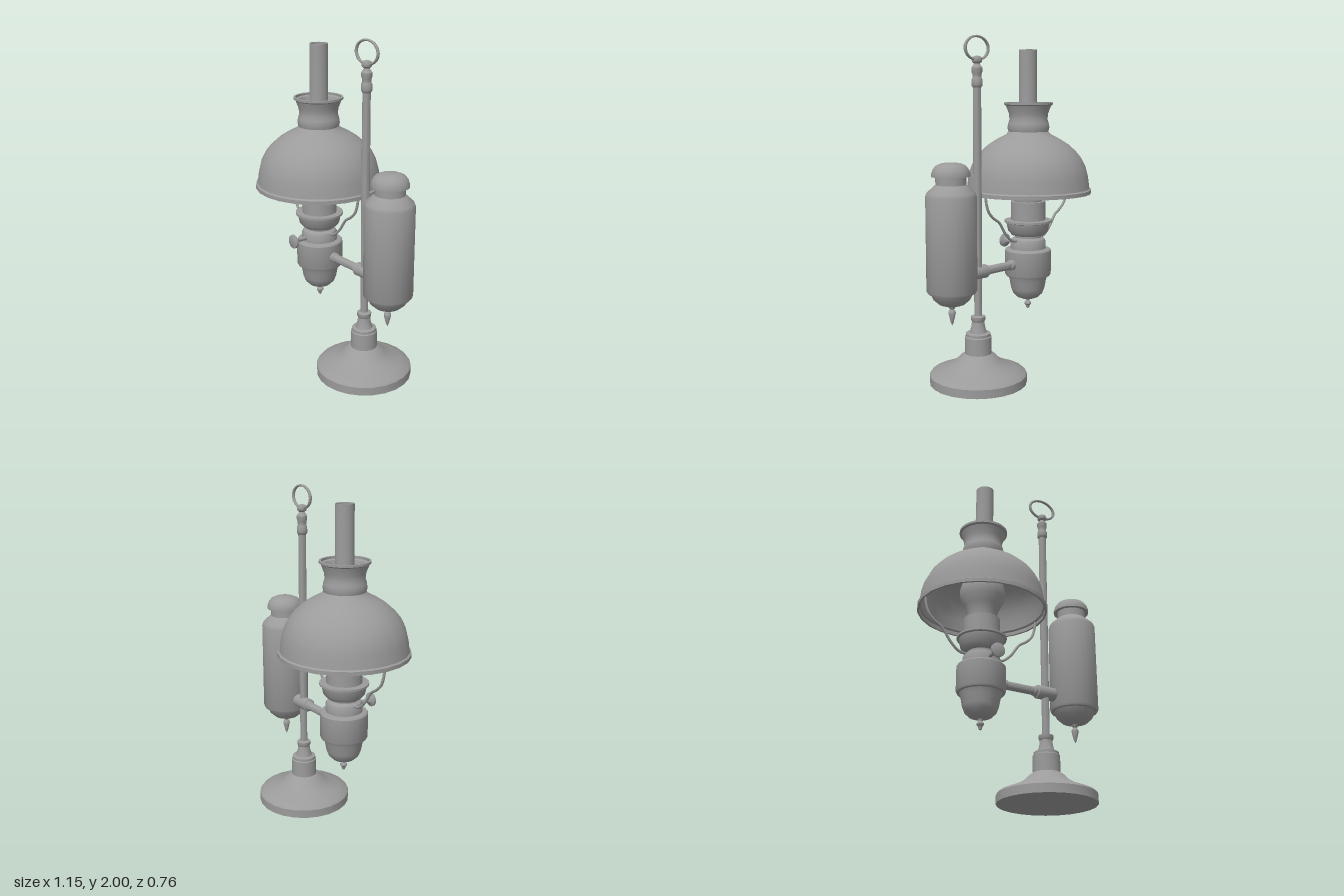
import * as THREE from 'three';
import { toCreasedNormals } from 'three/addons/utils/BufferGeometryUtils.js';

const LAMP_X = -0.195, POLE_X = 0.229, TANK_X = 0.431, ARM_Y = 0.655;
const COLOR = 0x9b9b9b;
const solid = new THREE.MeshStandardMaterial({ color: COLOR });
const thin = new THREE.MeshStandardMaterial({ color: COLOR, side: THREE.DoubleSide });

function add(parent, name, geometry, material = solid) {
  const mesh = new THREE.Mesh(geometry, material);
  mesh.name = name;
  parent.add(mesh);
  return mesh;
}

// Turned part from [radius, height] pairs, listed from bottom to top
function turned(parent, name, profile, segments = 24, material = solid) {
  const lathe = new THREE.LatheGeometry(profile.map(([r, y]) => new THREE.Vector2(r, y)), segments);
  return add(parent, name, toCreasedNormals(lathe, 0.6), material);
}

// Thin-walled turned part: outer wall up, inner wall back down
function shell(parent, name, profile, wall) {
  const inner = profile.map(([r, y]) => [r - wall, y]).reverse();
  return turned(parent, name, [...profile, ...inner, profile[0]], 24, thin);
}

function section(parent, name, x) {
  const g = new THREE.Group();
  g.name = name;
  g.position.x = x;
  parent.add(g);
  return g;
}

function buildStand(root) {
  const g = section(root, 'stand', POLE_X);
  turned(g, 'base', [
    [0, 0], [0.285, 0], [0.285, 0.05], [0.275, 0.062], [0.225, 0.082], [0.17, 0.105],
    [0.125, 0.135], [0.1, 0.162], [0.078, 0.175], [0.078, 0.275], [0.072, 0.28],
    [0.072, 0.295], [0.05, 0.3], [0.04, 0.335], [0.036, 0.365], [0.042, 0.375],
    [0.042, 0.395], [0.025, 0.4], [0, 0.4]]);
  turned(g, 'pole', [[0.022, 0.39], [0.024, 1.1], [0.023, 1.73]], 16);
  turned(g, 'poleFinial', [
    [0.023, 1.71], [0.031, 1.722], [0.031, 1.755], [0.025, 1.767], [0.026, 1.785],
    [0.031, 1.8], [0.031, 1.82], [0.022, 1.832], [0.016, 1.842], [0.027, 1.852],
    [0.03, 1.865], [0.024, 1.88], [0, 1.888]], 16);
  // Oval carrying ring
  const ring = add(g, 'carryingRing', new THREE.TorusGeometry(0.088, 0.009, 8, 32));
  ring.scale.y = 0.74;
  ring.position.y = 1.928;
}

function buildArm(root) {
  const arm = section(root, 'arm', 0);
  arm.position.y = ARM_Y;
  // Profile runs along +x once turned on its side
  const bar = turned(arm, 'armBar', [
    [0.031, -0.075], [0.031, -0.035], [0.025, -0.03], [0.025, 0.145], [0.03, 0.15],
    [0.03, 0.165], [0.04, 0.17], [0.04, 0.285], [0.033, 0.295], [0.033, 0.32]], 16);
  bar.rotation.z = -Math.PI / 2;
}

function buildTank(root) {
  const g = section(root, 'tank', TANK_X);
  turned(g, 'tankBody', [
    [0, 0.49], [0.035, 0.494], [0.075, 0.508], [0.105, 0.535], [0.122, 0.57],
    [0.136, 0.572], [0.143, 0.585], [0.143, 1.115], [0.136, 1.135],
    [0.092, 1.175], [0.086, 1.18], [0.086, 1.24]]);
  turned(g, 'tankCap', [
    [0.08, 1.225], [0.108, 1.225], [0.108, 1.24], [0.1, 1.265], [0.083, 1.286],
    [0.055, 1.298], [0, 1.302]]);
  turned(g, 'tankSpike', [
    [0, 0.38], [0.009, 0.4], [0.022, 0.455], [0.017, 0.468], [0.011, 0.475],
    [0.018, 0.485], [0.022, 0.5]], 12);
}

function buildLamp(root) {
  const g = section(root, 'lamp', LAMP_X);
  turned(g, 'burnerBody', [
    [0, 0.423], [0.035, 0.426], [0.065, 0.438], [0.09, 0.462], [0.103, 0.495],
    [0.112, 0.545], [0.122, 0.572], [0.135, 0.574], [0.141, 0.585], [0.141, 0.73],
    [0.135, 0.738], [0.108, 0.742], [0.108, 0.785], [0.1, 0.8], [0.08, 0.81], [0.08, 0.83]]);
  turned(g, 'burnerDrip', [
    [0, 0.36], [0.009, 0.365], [0.012, 0.38], [0.021, 0.392], [0.021, 0.4],
    [0.011, 0.412], [0.014, 0.43]], 12);
  // Closed on top by the burner plate
  turned(g, 'galleryCup', [
    [0.075, 0.82], [0.1, 0.826], [0.122, 0.85], [0.132, 0.9], [0.145, 0.904],
    [0.145, 0.916], [0.105, 0.918], [0.105, 1.03], [0, 1.034]], 24, thin);
  // Flat wick set diagonally in the burner
  const wick = add(g, 'wick', new THREE.BoxGeometry(0.12, 0.05, 0.016));
  wick.position.y = 1.045;
  wick.rotation.y = -Math.PI / 4;
  // Glass chimney bulging inside the shade, leaning very slightly
  const chimney = shell(g, 'chimney', [
    [0.084, 0], [0.086, 0.04], [0.105, 0.09], [0.13, 0.14], [0.135, 0.19],
    [0.12, 0.25], [0.085, 0.32], [0.06, 0.39], [0.054, 0.46], [0.054, 0.914]], 0.006);
  chimney.position.y = 1.02;
  chimney.rotation.z = -0.008;
  shell(g, 'shade', [
    [0.381, 1.083], [0.381, 1.105], [0.371, 1.112], [0.362, 1.18], [0.348, 1.235],
    [0.32, 1.292], [0.285, 1.335], [0.24, 1.375], [0.19, 1.407], [0.135, 1.435],
    [0.12, 1.452], [0.126, 1.475], [0.122, 1.5], [0.114, 1.525], [0.118, 1.56],
    [0.135, 1.605], [0.146, 1.612], [0.146, 1.625]], 0.012);

  // Bent wires carrying the shade, one on each side
  for (const side of [-1, 1]) {
    const path = new THREE.CatmullRomCurve3([
      [0.362, 1.1], [0.355, 1.05], [0.335, 0.995], [0.295, 0.955], [0.25, 0.925],
      [0.195, 0.85], [0.14, 0.803], [0.085, 0.795],
    ].map(([x, y]) => new THREE.Vector3(side * x, y, 0)));
    add(g, 'shadeSupport', new THREE.TubeGeometry(path, 28, 0.008, 8));
  }

  // Wick knob on the front
  const knob = turned(g, 'wickKnob', [
    [0.011, 0.08], [0.011, 0.16], [0.018, 0.175], [0.034, 0.19], [0.042, 0.193],
    [0.042, 0.205], [0.036, 0.208], [0, 0.208]], 16);
  knob.rotation.x = Math.PI / 2;
  knob.position.y = 0.765;
}

export function createModel() {
  const root = new THREE.Group();
  root.name = 'studentLamp';
  buildStand(root);
  buildArm(root);
  buildTank(root);
  buildLamp(root);
  return root;
}
